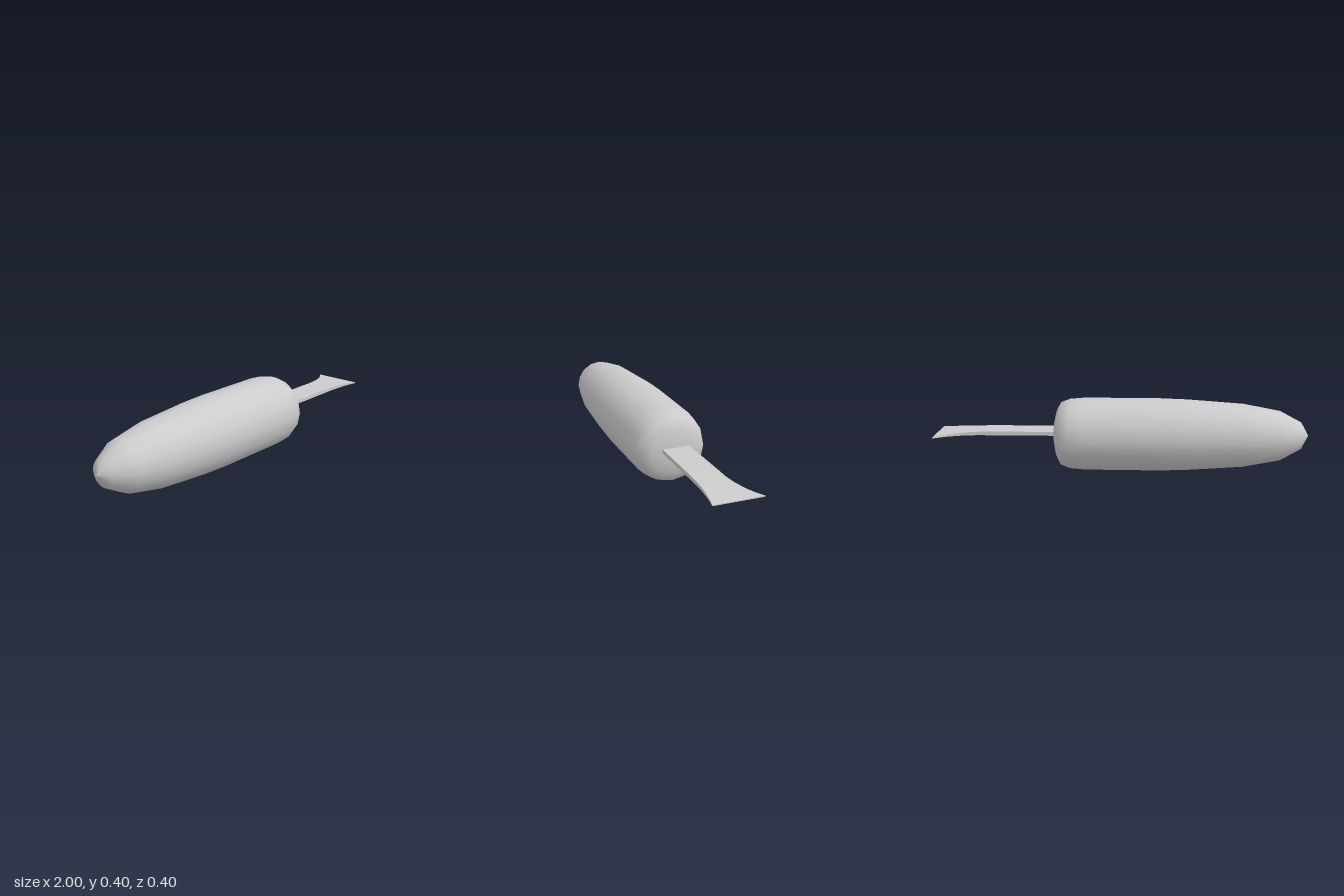
import * as THREE from 'three';

const material = new THREE.MeshStandardMaterial({ color: 0xcccccc });
const CENTRE_Y = 0.198;

// Rounded handle: a 16-sided profile turned about the x axis, as [x, radius]
function makeHandle() {
  const profile = [
    [-1, 0], [-0.96, 0.073], [-0.845, 0.135], [-0.65, 0.172], [-0.35, 0.193],
    [-0.2, 0.198], [0.0, 0.198], [0.2, 0.198], [0.28, 0.191], [0.33, 0.172],
    [0.353, 0.128], [0.366, 0.07], [0.37, 0],
  ].map(([x, r]) => new THREE.Vector2(r, x));
  const geometry = new THREE.LatheGeometry(profile, 16);
  geometry.rotateZ(-Math.PI / 2);
  const handle = new THREE.Mesh(geometry, material);
  handle.name = 'handle';
  handle.position.y = CENTRE_Y;
  return handle;
}

// Flat blade: rectangular sections along x that flare and thin to the edge
function makeBlade() {
  const bottom = 0.201;
  // [x, back z, front z, top y]
  const sections = [
    [0.3, -0.076, 0.07, 0.222], [0.65, -0.08, 0.07, 0.222],
    [0.78, -0.083, 0.07, 0.22], [0.85, -0.094, 0.074, 0.218],
    [0.92, -0.119, 0.081, 0.213], [0.96, -0.141, 0.087, 0.21],
    [1.0, -0.169, 0.095, 0.206],
  ];
  const rings = sections.map(([x, back, front, top]) => [
    [x, bottom, back], [x, top, back], [x, top, front], [x, bottom, front],
  ]);
  const positions = [];
  const quad = (a, b, c, d) => positions.push(...a, ...b, ...c, ...a, ...c, ...d);
  for (let i = 0; i < rings.length - 1; i++) {
    for (let j = 0; j < 4; j++) {
      const k = (j + 1) % 4;
      quad(rings[i][j], rings[i][k], rings[i + 1][k], rings[i + 1][j]);
    }
  }
  // End caps
  const [a, b, c, d] = rings[0];
  quad(d, c, b, a);
  quad(...rings[rings.length - 1]);

  const geometry = new THREE.BufferGeometry();
  geometry.setAttribute('position', new THREE.Float32BufferAttribute(positions, 3));
  geometry.computeVertexNormals();
  const blade = new THREE.Mesh(geometry, material);
  blade.name = 'blade';
  return blade;
}

export function createModel() {
  const model = new THREE.Group();
  model.name = 'chisel';
  model.add(makeHandle(), makeBlade());
  return model;
}
